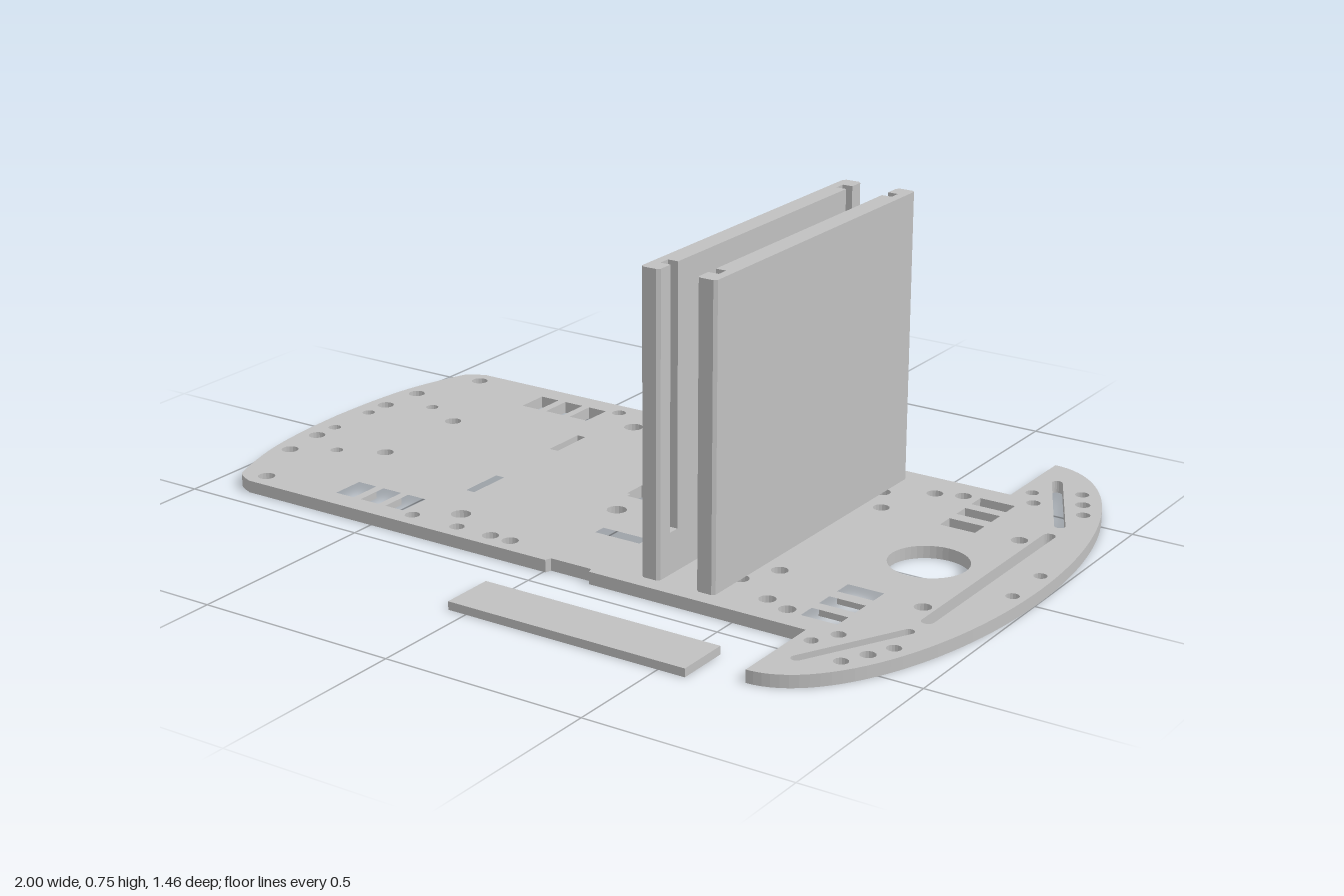
import * as THREE from 'three';

const PLATE = 0.03, MID = -0.028; // plate thickness, z of its symmetry axis

const grey = new THREE.MeshStandardMaterial({ color: 0xc0c0c0 });
grey.name = 'light grey';

// Extrude a plan shape (x, -z) upward from y = base
function slab(name, shape, base, height) {
  const g = new THREE.ExtrudeGeometry(shape, { depth: height, bevelEnabled: false, curveSegments: 24 });
  g.rotateX(-Math.PI / 2).translate(0, base, MID);
  const mesh = new THREE.Mesh(g, grey);
  mesh.name = name;
  return mesh;
}

const poly = (pts) => new THREE.Shape(pts.map(([x, v]) => new THREE.Vector2(x, v)));

function roundHole(x, v, r) {
  const pts = [], n = r > 0.05 ? 40 : 16;
  for (let i = 0; i < n; i++) {
    const a = (i / n) * Math.PI * 2;
    pts.push([x + r * Math.cos(a), v + r * Math.sin(a)]);
  }
  return poly(pts);
}

const rectHole = (x0, x1, v0, v1) => poly([[x0, v0], [x1, v0], [x1, v1], [x0, v1]]);

// Capsule slot between two points
function slotHole(x0, v0, x1, v1, r) {
  const a = Math.atan2(v1 - v0, x1 - x0), pts = [];
  for (let i = 0; i <= 8; i++) {
    const t = a + Math.PI / 2 + (i / 8) * Math.PI;
    pts.push([x0 + r * Math.cos(t), v0 + r * Math.sin(t)]);
  }
  for (let i = 0; i <= 8; i++) {
    const t = a - Math.PI / 2 + (i / 8) * Math.PI;
    pts.push([x1 + r * Math.cos(t), v1 + r * Math.sin(t)]);
  }
  return poly(pts);
}

function chassisShape() {
  // Half outline from the tail to the nose, then mirrored
  const half = [];
  const tail = new THREE.SplineCurve([
    [-1, 0], [-0.994, 0.14], [-0.975, 0.28], [-0.935, 0.415], [-0.915, 0.45], [-0.875, 0.47],
  ].map(([x, v]) => new THREE.Vector2(x, v)));
  for (const p of tail.getPoints(20)) half.push([p.x, p.y]);
  half.push([0.005, 0.47], [0.01, 0.455], [0.12, 0.455], [0.125, 0.47], [0.685, 0.47]);
  for (let i = 0; i <= 28; i++) {
    const a = (1 - i / 28) * Math.PI / 2;
    half.push([0.685 + 0.315 * Math.cos(a), 0.708 * Math.sin(a)]);
  }
  const mirrored = half.slice(1, -1).reverse().map(([x, v]) => [x, -v]);
  const shape = poly([...half, ...mirrored]);

  // Holes on the axis
  shape.holes.push(
    roundHole(0.722, 0, 0.094),
    roundHole(0.115, 0, 0.02),
    rectHole(0.28, 0.385, -0.1, 0.1),
    slotHole(0.877, -0.287, 0.877, 0.287, 0.015),
    poly([[-0.075, -0.03], [-0.065, -0.03], [-0.065, -0.045], [0.052, -0.045], [0.052, -0.03], [0.06, -0.03],
      [0.06, 0.03], [0.052, 0.03], [0.052, 0.045], [-0.065, 0.045], [-0.065, 0.03], [-0.075, 0.03]]),
  );

  // Holes in mirrored pairs
  const rounds = [
    [-0.861, 0.423, 0.021], [-0.936, 0.251, 0.021], [-0.837, 0.19, 0.016], [-0.727, 0.136, 0.021],
    [-0.947, 0.136, 0.021], [-0.947, 0.067, 0.016], [-0.412, 0.423, 0.018], [-0.281, 0.423, 0.018],
    [-0.184, 0.423, 0.02], [-0.128, 0.423, 0.02], [-0.321, 0.356, 0.024], [-0.035, 0.131, 0.024],
    [0.532, 0.377, 0.02], [0.596, 0.4, 0.02], [0.471, 0.227, 0.02], [0.422, 0.315, 0.022],
    [0.832, 0.227, 0.02], [0.722, 0.51, 0.016], [0.754, 0.452, 0.017], [0.826, 0.564, 0.017],
    [0.856, 0.505, 0.018], [0.885, 0.447, 0.017], [0.965, 0.067, 0.016],
  ];
  const rects = [
    [-0.65, -0.597, 0.329, 0.414], [-0.575, -0.521, 0.329, 0.414], [-0.5, -0.447, 0.329, 0.414],
    [-0.404, -0.38, 0.11, 0.228], [0.003, 0.126, 0.24, 0.273], [0.16, 0.228, 0.17, 0.235],
    [0.289, 0.361, 0.17, 0.235], [0.636, 0.727, 0.364, 0.41], [0.636, 0.727, 0.29, 0.334],
    [0.636, 0.727, 0.21, 0.257],
  ];
  for (const s of [1, -1]) {
    for (const [x, v, r] of rounds) shape.holes.push(roundHole(x, s * v, r));
    for (const [x0, x1, v0, v1] of rects) shape.holes.push(rectHole(x0, x1, s * v0, s * v1));
    shape.holes.push(slotHole(0.742, s * 0.602, 0.87, s * 0.356, 0.013));
  }
  return shape;
}

// Upright panel; grooves are cut into the face at x = inner, which faces the other panel
function panel(name, outer, inner) {
  const group = new THREE.Group();
  group.name = name;
  const d = Math.sign(inner - outer), L = 0.428, c = 0.007;
  const deep = inner - d * 0.026, g0 = 0.355, g1 = 0.384;
  const corners = [[outer, -L + c], [outer + d * c, -L], [inner - d * c, -L], [inner, -L + c]];
  const ends = [[inner, L - c], [inner - d * c, L], [outer + d * c, L], [outer, L - c]];
  const grooves = [[inner, -g1], [deep, -g1], [deep, -g0], [inner, -g0],
    [inner, g0], [deep, g0], [deep, g1], [inner, g1]];
  group.add(
    slab('panelFoot', poly([...corners, ...ends]), PLATE, 0.1),
    slab('groovedPanel', poly([...corners, ...grooves, ...ends]), PLATE + 0.1, 0.615),
  );
  return group;
}

export function createModel() {
  const model = new THREE.Group();
  model.name = 'robotChassis';
  model.add(slab('chassisPlate', chassisShape(), 0, PLATE));
  model.add(panel('rearPanel', 0.235, 0.283), panel('frontPanel', 0.427, 0.379));

  // Loose flat strip beside the plate
  const strip = new THREE.Mesh(new THREE.BoxGeometry(0.615, 0.02, 0.135), grey);
  strip.name = 'looseStrip';
  strip.position.set(0.26, 0.01, 0.66);
  model.add(strip);
  return model;
}
